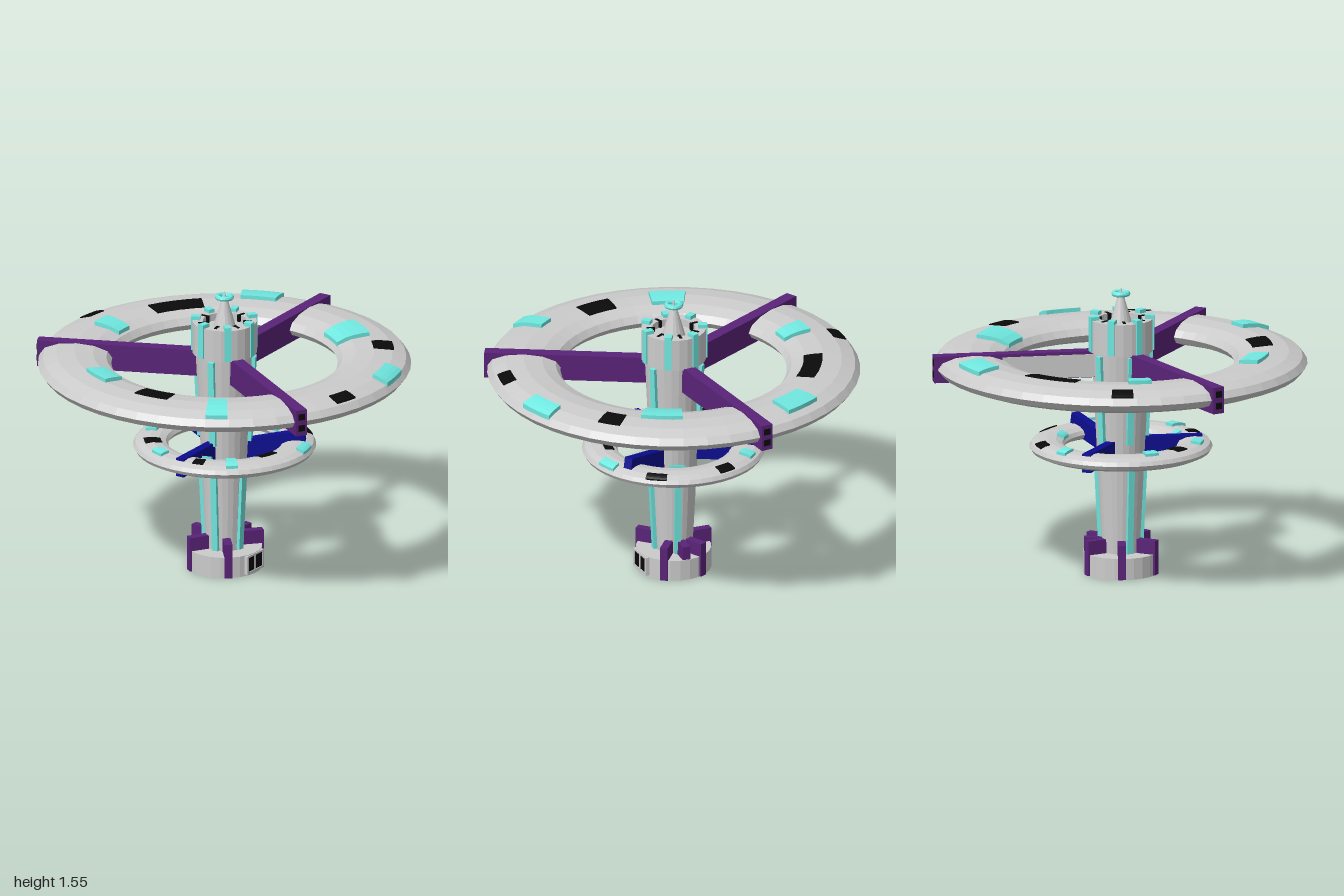
import * as THREE from 'three';

const rad = THREE.MathUtils.degToRad;
const mat = (color, extra = {}) => new THREE.MeshStandardMaterial({ color, flatShading: true, ...extra });

export function createModel() {
  const grey = mat(0xcccccc);
  const cyan = mat(0x70e8e0), purple = mat(0x5a2378), blue = mat(0x0c0c90), black = mat(0x0a0a0a);
  const model = new THREE.Group();
  model.name = 'spaceStation';
  model.position.z = -0.01;

  function add(name, geometry, material, parent = model) {
    const mesh = new THREE.Mesh(geometry, material);
    mesh.name = name;
    parent.add(mesh);
    return mesh;
  }

  // Group turned so that its local +x points outward at an angle (0 = +x, 90 = +z)
  function arm(name, degrees) {
    const g = new THREE.Group();
    g.name = name;
    g.rotation.y = -rad(degrees);
    model.add(g);
    return g;
  }

  // Box given by its radial, vertical and sideways limits
  function block(name, parent, material, r0, r1, y0, y1, width, z = 0) {
    const mesh = add(name, new THREE.BoxGeometry(r1 - r0, y1 - y0, width), material, parent);
    mesh.position.set((r0 + r1) / 2, (y0 + y1) / 2, z);
    return mesh;
  }

  // Flattened habitat ring
  function ring(name, { y, radius, half, height }) {
    const g = new THREE.TorusGeometry(radius, half, 12, 48);
    g.rotateX(Math.PI / 2).scale(1, height / half, 1);
    add(name, g, grey).position.y = y;
  }

  // Curved panel lying on the top of a ring
  function panel(name, { y, radius, half, height }, material, lift, [a0, a1, r0, r1]) {
    const g = new THREE.BoxGeometry(1, 1, 1, 4, 1, 4);
    const p = g.attributes.position;
    for (let i = 0; i < p.count; i++) {
      const r = r0 + (p.getX(i) + 0.5) * (r1 - r0);
      const a = rad(a0 + (p.getZ(i) + 0.5) * (a1 - a0));
      const t = Math.min(1, Math.abs(r - radius) / half);
      const top = y + height * Math.sqrt(1 - t * t);
      p.setXYZ(i, r * Math.cos(a), top + (p.getY(i) > 0 ? lift : -0.02), r * Math.sin(a));
    }
    g.computeVertexNormals();
    add(name, g, material);
  }

  // Rings
  const big = { y: 1.145, radius: 0.795, half: 0.195, height: 0.07 };
  const small = { y: 0.688, radius: 0.392, half: 0.094, height: 0.042 };
  ring('outerRing', big);
  ring('innerRing', small);

  // Panels: start angle, end angle, inner radius, outer radius
  [[-8, 8, 0.62, 0.8], [-60, -46, 0.79, 0.92], [-127, -118, 0.64, 0.79],
    [166, 180, 0.69, 0.8], [113, 120, 0.79, 0.96], [38.5, 51, 0.88, 0.97],
  ].forEach((s) => panel('outerRingPanel', big, cyan, 0.02, s));
  [[-97, -75, 0.69, 0.79], [-119, -112, 0.89, 0.96], [136, 150, 0.7, 0.81],
    [67, 75, 0.88, 0.95], [14, 22, 0.79, 0.9],
  ].forEach((s) => panel('outerRingWindow', big, black, 0.005, s));
  [[-75, -67, 0.39, 0.46], [-143, -133, 0.37, 0.43], [-15, -1, 0.305, 0.345], [163, 174, 0.39, 0.445],
    [126, 134, 0.305, 0.345], [105, 113, 0.37, 0.46], [38, 52, 0.43, 0.475],
  ].forEach((s) => panel('innerRingPanel', small, cyan, 0.014, s));
  [[-49, -37, 0.41, 0.465], [-105, -98, 0.31, 0.35], [-170, -160, 0.34, 0.43], [0, 14, 0.435, 0.475],
    [129, 137, 0.38, 0.44], [67, 83, 0.33, 0.38],
  ].forEach((s) => panel('innerRingWindow', small, black, 0.005, s));

  // Base, tapering column and hollow crown
  add('base', new THREE.CylinderGeometry(0.2, 0.2, 0.115, 24), grey).position.y = 0.0575;
  const columnRadius = (y) => 0.1 + 0.05 * (y - 0.11);
  add('column', new THREE.CylinderGeometry(columnRadius(1.22), columnRadius(0.11), 1.11, 24), grey).position.y = 0.665;
  const crown = [[0, 1.21], [0.172, 1.21], [0.172, 1.385], [0.115, 1.385], [0.115, 1.345], [0, 1.345]];
  add('crown', new THREE.LatheGeometry(crown.map(([x, y]) => new THREE.Vector2(x, y)), 24), grey);

  // Antenna
  add('antennaCone', new THREE.CylinderGeometry(0.016, 0.062, 0.16, 16), grey).position.y = 1.425;
  add('antennaTip', new THREE.CylinderGeometry(0.002, 0.012, 0.045, 8), grey).position.y = 1.525;
  const halo = add('antennaRing', new THREE.TorusGeometry(0.037, 0.014, 8, 20), cyan);
  halo.rotation.x = Math.PI / 2;
  halo.position.y = 1.517;
  for (let i = 0; i < 2; i++) {
    const bar = add('antennaRingBar', new THREE.BoxGeometry(0.074, 0.008, 0.008), cyan);
    bar.position.y = 1.517;
    bar.rotation.y = i * Math.PI / 2;
  }

  // Crown posts with dark slits between some of them
  for (let i = 0; i < 7; i++) {
    const a = 108 + i * 360 / 7;
    block('crownPost', arm('crownPostMount', a), cyan, 0.13, 0.178, 1.215, 1.405, 0.036);
    block('crownSlit', arm('crownSlitMount', a + 26), black, 0.1, 0.145, 1.35, 1.388, 0.014);
  }

  // Light strips leaning with the column
  function strip(degrees, y0, y1) {
    const r = columnRadius((y0 + y1) / 2);
    const mesh = block('columnStrip', arm('columnStripMount', degrees), cyan, r - 0.015, r + 0.018, y0, y1, 0.034);
    mesh.rotation.z = -Math.atan(0.05);
  }
  [38, 140, 225, 290].forEach((a) => strip(a, 0.72, 1.2));
  [65, 140, 220, 345].forEach((a) => strip(a, 0.12, 0.63));

  // Main spokes with paired dark ports at the tips; one carries a grey side plate
  [90, -34, 214].forEach((a) => {
    const g = arm('outerSpoke', a);
    block('outerSpokeBeam', g, purple, 0.12, 1.005, 1.073, 1.2165, 0.064);
    for (const y of [1.115, 1.178]) block('spokePort', g, black, 0.99, 1.008, y - 0.017, y + 0.017, 0.036);
    if (a === -34) block('spokeSidePlate', g, grey, 0.14, 0.64, 1.076, 1.2, 0.004, -0.0325);
  });

  // Short spokes of the inner ring, one of them tilted upward
  [-90, 30, 147].forEach((a) => {
    const beam = block('innerSpokeBeam', arm('innerSpoke', a), blue, 0.08, 0.435, 0.635, 0.736, 0.048);
    if (a === 30) {
      beam.rotation.z = 0.2;
      beam.position.y = 0.7;
    }
  });

  // Buttress fins around the base
  [10, 108, 180, 243, 306].forEach((a) =>
    block('baseFin', arm('baseFinMount', a), purple, 0.1, 0.209, 0.002, 0.19, 0.042));
  block('shortFin', arm('shortFinMount', 335), purple, 0.1, 0.195, 0.11, 0.19, 0.042);

  // Framed bay opening in the base
  const bay = arm('bay', 59);
  block('bayOpening', bay, black, 0.15, 0.199, 0.018, 0.1, 0.13);
  for (const s of [-1, 1]) block('bayJamb', bay, grey, 0.15, 0.203, 0.01, 0.11, 0.014, s * 0.07);
  for (const y of [0.012, 0.102]) block('bayLintel', bay, grey, 0.15, 0.203, y, y + 0.01, 0.15);

  const root = new THREE.Group();
  root.name = 'model';
  root.add(model);
  return root;
}
